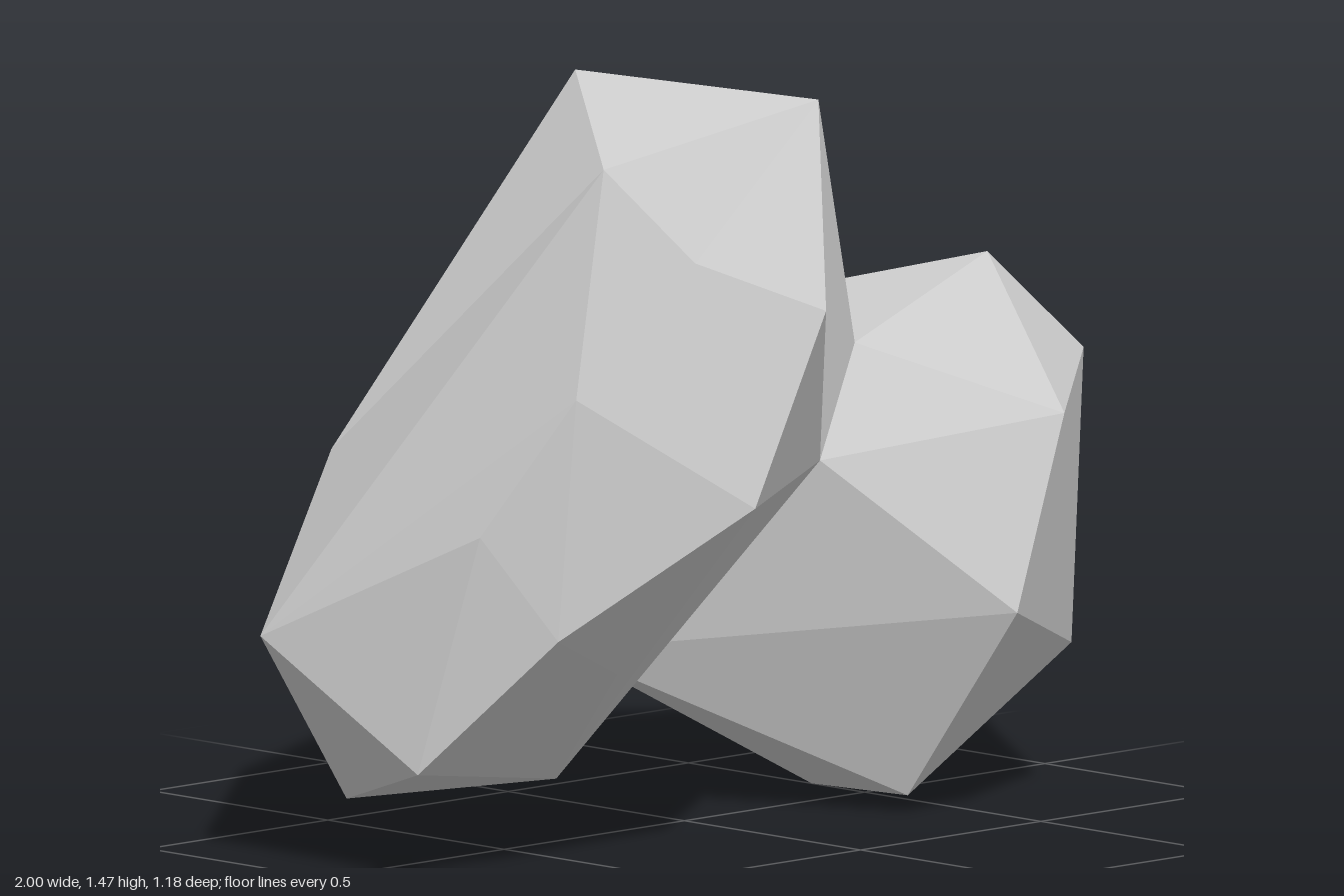
import * as THREE from 'three';
import { ConvexGeometry } from 'three/addons/geometries/ConvexGeometry.js';

// Corners shared between neighbouring chunks
const ridgeFront = [0.23, 1.44, 0.145];
const ridgeBack = [0.19, 1.345, -0.505];
const saddle = [-0.165, 1.32, -0.06];
const backHigh = [-0.49, 0.745, -0.50];
const backLow = [-0.40, 0.32, -0.595];
const creaseFront = [0.21, 0.72, 0.17];
const creaseUnder = [-0.03, 0.31, -0.31];
const shoulderFront = [0.375, 0.93, 0.10];
const shoulderBack = [0.42, 0.94, -0.395];
const sideBack = [0.915, 0.435, -0.35];

const chunks = {
  // Big boulder on the right
  largeBoulder: [
    ridgeFront, ridgeBack, saddle, backHigh, backLow, creaseFront, creaseUnder,
    [-0.41, 1.22, 0.45], [-0.73, 0.98, 0.44], [-0.12, 1.10, 0.525],
    [-0.38, 0.74, 0.59], [-0.78, 0.50, 0.44], [-0.85, 0.70, 0.29],
    [-0.69, 0.87, 0.12], [-1.0, 0.465, -0.18], [-0.925, 0.22, 0.19],
    [-0.80, 0.12, -0.14], [-0.375, 0.13, 0.02], [-0.46, 0.38, 0.28],
  ],
  // Peak rising behind the saddle
  peak: [[0.015, 1.47, -0.325], ridgeFront, ridgeBack, saddle, backHigh],
  // Small boulder on the left
  smallBoulder: [
    creaseFront, creaseUnder, shoulderFront, shoulderBack, sideBack,
    [0.855, 1.045, -0.015], [1.0, 0.85, 0.11], [0.58, 0.81, 0.485],
    [0.42, 0.43, 0.515], [0.80, 0.30, 0.28], [0.385, 0.035, 0.24], [0.50, 0, -0.15],
  ],
  // Slope running from the ridge down to the small boulder
  neckSlope: [ridgeFront, ridgeBack, shoulderFront, shoulderBack, creaseFront, creaseUnder, backLow],
  // Wedge closing the back of the neck
  neckBack: [shoulderFront, shoulderBack, sideBack, backLow, creaseUnder, creaseFront],
};

export function createModel() {
  const rock = new THREE.Group();
  rock.name = 'rock';
  const stone = new THREE.MeshStandardMaterial({ color: 0xcccccc, flatShading: true });
  for (const [name, corners] of Object.entries(chunks)) {
    const points = corners.map((c) => new THREE.Vector3(...c));
    const mesh = new THREE.Mesh(new ConvexGeometry(points), stone);
    mesh.name = name;
    rock.add(mesh);
  }
  return rock;
}
